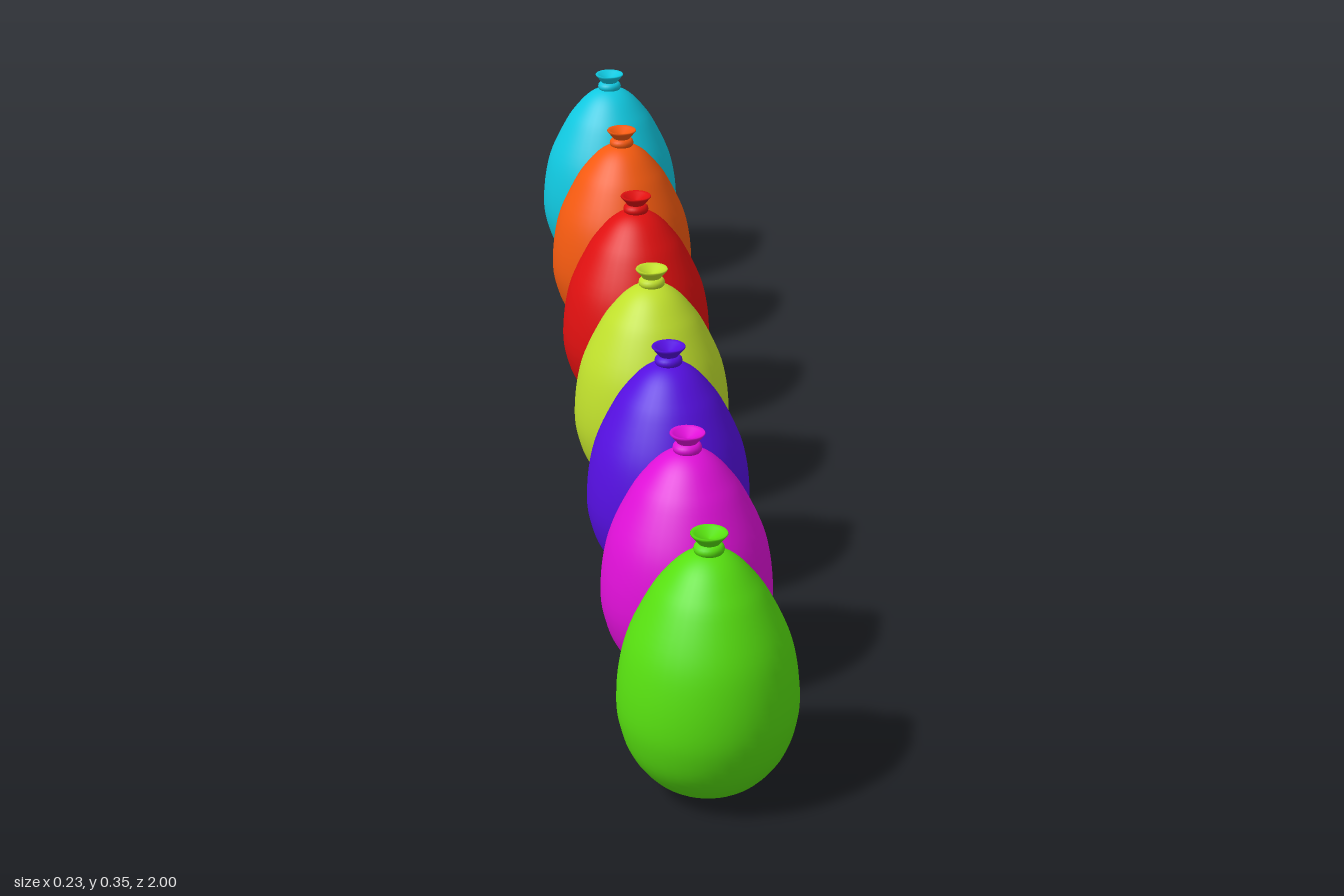
import * as THREE from 'three';

const v = (x, y) => new THREE.Vector2(x, y);

// Egg-shaped body, closed at both ends
const bodyCurve = new THREE.SplineCurve([
  v(0, 0.002), v(0.022, 0.0045), v(0.045, 0.012), v(0.072, 0.0295), v(0.096, 0.06), v(0.109, 0.095),
  v(0.1135, 0.13), v(0.110, 0.175), v(0.099, 0.22), v(0.075, 0.27),
  v(0.058, 0.295), v(0.039, 0.316), v(0.020, 0.328), v(0, 0.332),
]);
const bodyPoints = bodyCurve.getPoints(52);
bodyPoints[0].x = 0;
bodyPoints[bodyPoints.length - 1].x = 0;
const bodyGeometry = new THREE.LatheGeometry(bodyPoints, 40);

// Rolled knot below the mouth
const knotGeometry = new THREE.TorusGeometry(0.0115, 0.0078, 12, 28).rotateX(Math.PI / 2);

// Flared mouth with a thin lip and a dished top
const mouthGeometry = new THREE.LatheGeometry([
  v(0.009, 0.328), v(0.010, 0.337), v(0.0145, 0.343), v(0.0215, 0.3515),
  v(0.0235, 0.354), v(0.0225, 0.3555), v(0.018, 0.354), v(0.008, 0.348), v(0, 0.346),
], 28);

function makeBalloon(name, color, z) {
  const material = new THREE.MeshStandardMaterial({ color });
  const balloon = new THREE.Group();
  balloon.name = name;
  const add = (part, geometry, y = 0) => {
    const mesh = new THREE.Mesh(geometry, material);
    mesh.name = part;
    mesh.position.y = y;
    balloon.add(mesh);
  };
  add('body', bodyGeometry);
  add('knot', knotGeometry, 0.334);
  add('mouth', mouthGeometry);
  balloon.position.z = z;
  return balloon;
}

export function createModel() {
  const model = new THREE.Group();
  model.name = 'balloonRow';
  // Row of balloons from front to back
  [
    ['greenBalloon', 0x57e010, 0.887],
    ['magentaBalloon', 0xe010d8, 0.592],
    ['purpleBalloon', 0x550fe0, 0.304],
    ['yellowBalloon', 0xc0e02c, 0.014],
    ['redBalloon', 0xe01010, -0.291],
    ['orangeBalloon', 0xf55a10, -0.598],
    ['cyanBalloon', 0x10c8e0, -0.887],
  ].forEach(([name, color, z]) => model.add(makeBalloon(name, color, z)));
  return model;
}
